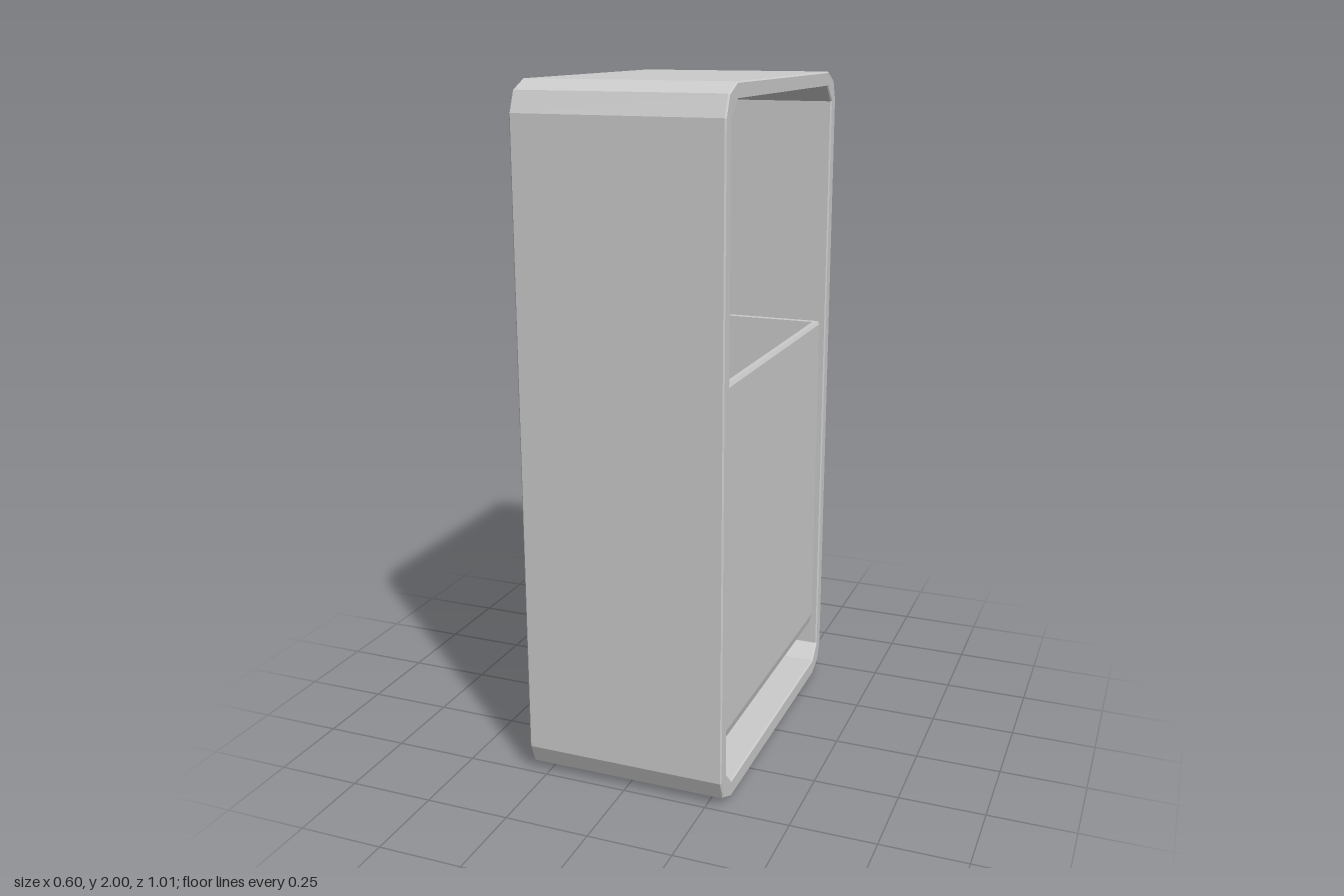
import * as THREE from 'three';

const material = new THREE.MeshStandardMaterial({ color: 0xcccccc, flatShading: true });

// Points of a rectangle whose corners are cut by the given [dx, dy] insets
function cutRect(halfW, y0, y1, cuts) {
  const quarter = cuts.map(([dx, dy]) => [halfW - dx, dy]);
  const back = [...quarter].reverse();
  return [
    ...quarter.map(([x, d]) => [x, y0 + d]),
    ...back.map(([x, d]) => [x, y1 - d]),
    ...quarter.map(([x, d]) => [-x, y1 - d]),
    ...back.map(([x, d]) => [-x, y0 + d]),
  ].map(([x, y]) => new THREE.Vector2(x, y));
}

function part(name, geometry) {
  const mesh = new THREE.Mesh(geometry, material);
  mesh.name = name;
  return mesh;
}

// Upright loop with faceted corners, open on both sides
function frame() {
  const shape = new THREE.Shape(cutRect(0.503, 0, 2, [[0.083, 0], [0.024, 0.027], [0, 0.085]]));
  shape.holes.push(new THREE.Path(cutRect(0.46, 0.05, 1.955, [[0.045, 0], [0, 0.045]])));
  const bevel = 0.004;
  const geometry = new THREE.ExtrudeGeometry(shape, {
    depth: 0.6 - 2 * bevel, bevelThickness: bevel, bevelSize: bevel, bevelOffset: -bevel, bevelSegments: 1,
  });
  geometry.translate(0, 0, -0.3 + bevel).rotateY(Math.PI / 2);
  return part('frame', geometry);
}

// Open-topped container held between the frame's uprights
function bin() {
  const group = new THREE.Group();
  group.name = 'bin';
  const wall = 0.02, halfLength = 0.46, top = 1.22;
  const side = [[0.255, 0.16], [0.273, 0.17], [0.28, 0.2], [0.28, top - 0.01], [0.275, top]];
  const inner = [[0.262, top], [0.26, top - 0.01], [0.26, 0.2], [0.245, 0.18]];
  const mirrored = (pts) => [...pts].reverse().map(([x, y]) => [-x, y]);
  const toShape = (pts) => new THREE.Shape(pts.map(([x, y]) => new THREE.Vector2(x, y)));

  // Long walls and floor
  const trough = new THREE.ExtrudeGeometry(
    toShape([...side, ...inner, ...mirrored(inner), ...mirrored(side)]),
    { depth: 2 * halfLength, bevelEnabled: false });
  group.add(part('binTrough', trough.translate(0, 0, -halfLength)));

  // Short end walls
  for (const s of [1, -1]) {
    const end = new THREE.ExtrudeGeometry(toShape([...side, ...mirrored(side)]), { depth: wall, bevelEnabled: false });
    end.translate(0, 0, s > 0 ? halfLength - wall : -halfLength);
    group.add(part(s > 0 ? 'binFrontWall' : 'binBackWall', end));
  }
  return group;
}

export function createModel() {
  const model = new THREE.Group();
  model.name = 'framedBin';
  model.add(frame(), bin());
  return model;
}
